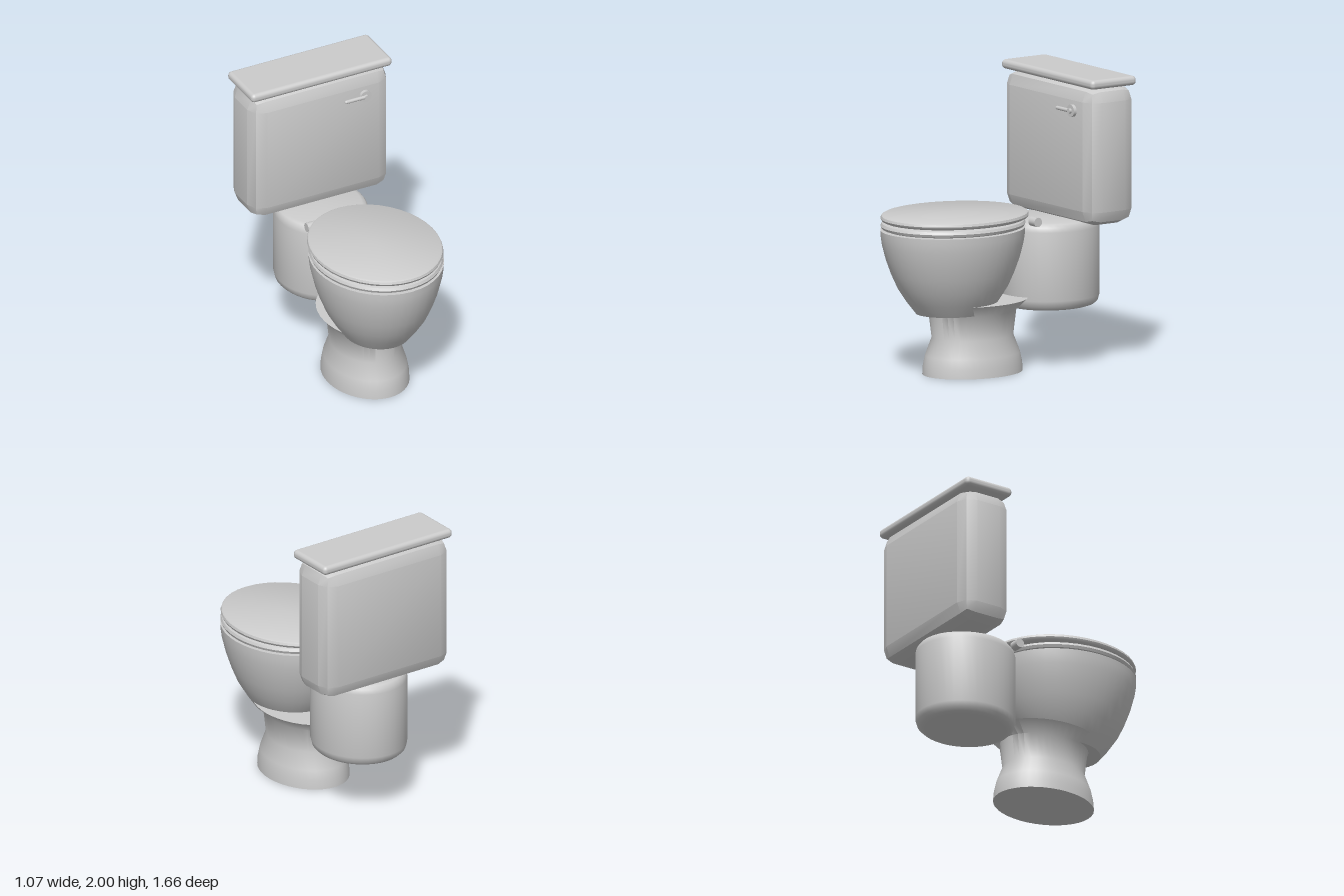
import * as THREE from 'three';
import { toCreasedNormals } from 'three/addons/utils/BufferGeometryUtils.js';
import { RoundedBoxGeometry } from 'three/addons/geometries/RoundedBoxGeometry.js';

const material = new THREE.MeshStandardMaterial({ color: 0xcccccc });

export function createModel() {
  const model = new THREE.Group();

  const add = (name, geometry, x = 0, y = 0, z = 0) => {
    const mesh = new THREE.Mesh(geometry, material);
    mesh.name = name;
    mesh.position.set(x, y, z);
    model.add(mesh);
    return mesh;
  };

  // Closed oval solid: profile rows are [half width, height], bottom to top
  const oval = (name, profile, depthRatio, z, segments = 40) => {
    const points = profile.map(([r, y]) => new THREE.Vector2(r, y));
    const geometry = new THREE.LatheGeometry(points, segments);
    geometry.scale(1, 1, depthRatio);
    return add(name, toCreasedNormals(geometry, 0.7), 0, 0, z);
  };

  // Flared foot
  oval('pedestal', [
    [0, 0], [0.28, 0], [0.277, 0.06], [0.265, 0.13], [0.228, 0.25],
    [0.245, 0.42], [0.31, 0.495], [0, 0.495],
  ], 1.3, 0.155);

  // Bowl
  oval('bowl', [
    [0, 0.425], [0.225, 0.425], [0.28, 0.505], [0.335, 0.6], [0.375, 0.7],
    [0.407, 0.8], [0.43, 0.9], [0.438, 0.96], [0.44, 1.0], [0, 1.0],
  ], 1.165, 0.317);

  // Rear support under the tank
  oval('tankSupport', [
    [0, 0.4], [0.258, 0.4], [0.285, 0.409], [0.306, 0.43], [0.316, 0.47],
    [0.316, 0.94], [0.309, 0.972], [0.294, 0.992], [0.27, 1.0], [0, 1.0],
  ], 1.1, -0.48);

  // Seat ring, closed by returning to its first point
  oval('seat', [
    [0.3, 1.005], [0.415, 1.005], [0.432, 1.012], [0.44, 1.03],
    [0.432, 1.048], [0.415, 1.055], [0.3, 1.055], [0.3, 1.005],
  ], 1.165, 0.315);

  // Seat cover
  oval('seatCover', [
    [0, 1.06], [0.42, 1.06], [0.433, 1.067], [0.44, 1.082],
    [0.435, 1.098], [0.424, 1.105], [0, 1.105],
  ], 1.2, 0.302);

  // Hinges
  for (const side of [-1, 1]) {
    const hinge = new THREE.CylinderGeometry(0.032, 0.032, 0.07, 20).rotateZ(Math.PI / 2);
    add(side < 0 ? 'rightHinge' : 'leftHinge', hinge, side * 0.22, 1.02, -0.207);
  }

  // Tank with faceted edges
  const tank = new RoundedBoxGeometry(1.049, 0.949, 0.384, 1, 0.1);
  add('tank', toCreasedNormals(tank, 0.4), 0, 1.465, -0.643);

  // Tank lid
  add('tankLid', new RoundedBoxGeometry(1.07, 0.064, 0.372, 3, 0.028), 0, 1.968, -0.641);

  // Flush handle: round plate, short stem and lever
  add('handlePlate', new THREE.CylinderGeometry(0.042, 0.042, 0.035, 24).rotateX(Math.PI / 2), 0.317, 1.77, -0.446);
  add('handleStem', new THREE.CylinderGeometry(0.017, 0.017, 0.04, 16).rotateX(Math.PI / 2), 0.317, 1.77, -0.432);
  add('handleLever', new THREE.CapsuleGeometry(0.013, 0.155, 6, 14).rotateZ(Math.PI / 2), 0.243, 1.77, -0.428);

  return model;
}
